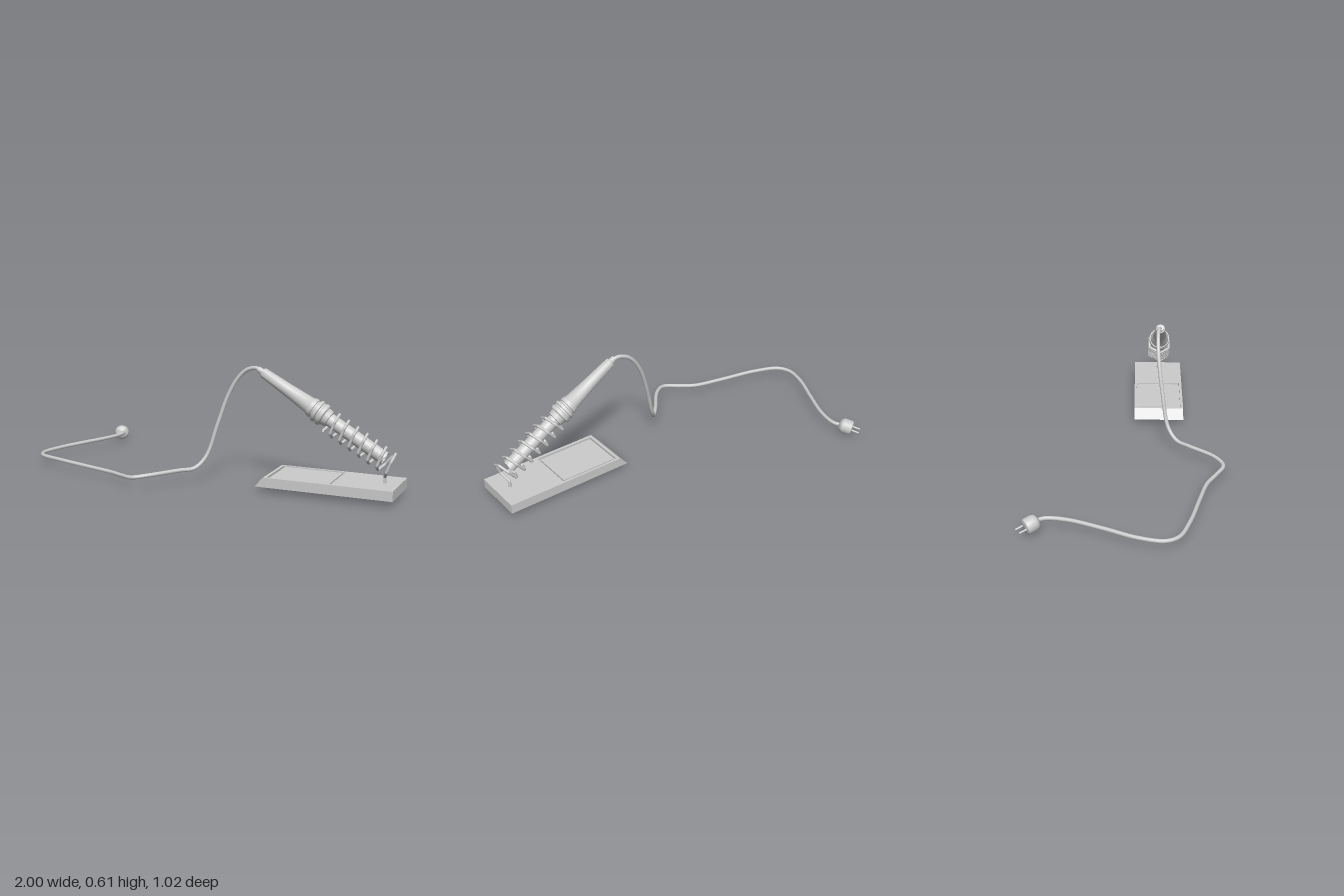
import * as THREE from 'three';
import { toCreasedNormals } from 'three/addons/utils/BufferGeometryUtils.js';

const grey = new THREE.MeshStandardMaterial({ color: 0xcccccc, side: THREE.DoubleSide });
const V = (x, y, z) => new THREE.Vector3(x, y, z);

function part(name, geometry, parent) {
  const mesh = new THREE.Mesh(geometry, grey);
  mesh.name = name;
  parent.add(mesh);
  return mesh;
}

// Surface of revolution from [distance along axis, radius] pairs
function turned(profile, sides) {
  const points = profile.map(([s, r]) => new THREE.Vector2(r, s));
  return toCreasedNormals(new THREE.LatheGeometry(points, sides), 0.6);
}

function rect(Type, x0, x1, z0, z1) {
  const p = new Type();
  p.moveTo(x0, -z0);
  p.lineTo(x1, -z0);
  p.lineTo(x1, -z1);
  p.lineTo(x0, -z1);
  p.closePath();
  return p;
}

// Horizontal slab whose left edge slopes inward as it rises
function slab(y0, y1, hole) {
  const shape = rect(THREE.Shape, 0.3, 1, 0.03, 0.305);
  if (hole) shape.holes.push(hole);
  const g = new THREE.ExtrudeGeometry(shape, { depth: y1 - y0, bevelEnabled: false });
  g.rotateX(-Math.PI / 2).translate(0, y0, 0);
  const p = g.attributes.position;
  for (let i = 0; i < p.count; i++) {
    if (p.getX(i) < 0.31) p.setX(i, 0.3 + (p.getY(i) - 0.03) * 0.9);
  }
  g.computeVertexNormals();
  return g;
}

export function createModel() {
  const model = new THREE.Group();
  const up = V(0, 1, 0);

  // Stand base with a sponge tray
  const stand = new THREE.Group();
  stand.name = 'stand';
  model.add(stand);
  part('standBase', slab(0.03, 0.066), stand);
  part('trayRim', slab(0.066, 0.08, rect(THREE.Path, 0.36, 0.69, 0.042, 0.29)), stand);
  part('sponge', new THREE.BoxGeometry(0.308, 0.012, 0.226), stand).position.set(0.525, 0.071, 0.166);

  // Iron, turned around its sloping axis
  const start = V(0.27, 0.593, 0.17);
  const axis = V(0.857, -0.514, 0).normalize();
  const normal = V(0.514, 0.857, 0).normalize();
  const iron = new THREE.Group();
  iron.name = 'iron';
  iron.position.copy(start);
  iron.quaternion.setFromUnitVectors(up, axis);
  model.add(iron);
  part('handle', turned([[-0.005, 0], [-0.005, 0.015], [0.02, 0.016], [0.022, 0.023], [0.03, 0.026],
    [0.18, 0.033], [0.31, 0.042], [0.32, 0.048]], 20), iron);
  part('collar', turned([[0.318, 0.04], [0.32, 0.048], [0.338, 0.05], [0.34, 0.045], [0.348, 0.046],
    [0.352, 0.056], [0.366, 0.058], [0.37, 0.052], [0.378, 0.052], [0.382, 0.058], [0.398, 0.056],
    [0.405, 0.046], [0.43, 0.041], [0.432, 0.033]], 20), iron);
  part('barrel', turned([[0.42, 0.034], [0.76, 0.034], [0.76, 0.029], [0.7, 0.029], [0.7, 0]], 20), iron);
  part('tip', turned([[0.7, 0.009], [0.74, 0.008], [0.765, 0]], 10), iron);

  // Six-sided coil holder, its tail bent down into the base
  const wirePoints = [];
  for (let k = -3; k <= 38; k++) {
    const a = k * Math.PI / 3;
    wirePoints.push(start.clone()
      .addScaledVector(axis, 0.46 + 0.055 * k / 6)
      .addScaledVector(normal, 0.06 * Math.cos(a) - 0.008)
      .add(V(0, 0, 0.064 * Math.sin(a))));
  }
  wirePoints.push(V(0.925, 0.113, 0.17), V(0.925, 0.07, 0.17));
  const wire = new THREE.CurvePath();
  for (let i = 1; i < wirePoints.length; i++) {
    wire.add(new THREE.LineCurve3(wirePoints[i - 1], wirePoints[i]));
  }
  part('coilHolder', new THREE.TubeGeometry(wire, 420, 0.0075, 8), stand);

  // Power cable
  const cable = new THREE.CatmullRomCurve3([
    [-0.836, 0.052, -0.43], [-0.81, 0.055, -0.4], [-0.804, 0.056, -0.36], [-0.824, 0.057, -0.264],
    [-0.893, 0.056, -0.104], [-0.966, 0.053, 0.056], [-0.99, 0.052, 0.18], [-0.957, 0.053, 0.243],
    [-0.824, 0.055, 0.3], [-0.61, 0.05, 0.355], [-0.45, 0.048, 0.4], [-0.37, 0.052, 0.447],
    [-0.285, 0.06, 0.49], [-0.21, 0.069, 0.45], [-0.104, 0.074, 0.323], [-0.045, 0.078, 0.258],
    [0, 0.135, 0.212], [0.05, 0.3, 0.182], [0.1, 0.45, 0.163], [0.15, 0.54, 0.157],
    [0.2, 0.586, 0.157], [0.25, 0.599, 0.163], [0.285, 0.584, 0.17],
  ].map((p) => V(...p)));
  part('cable', new THREE.TubeGeometry(cable, 200, 0.0105, 10), model);

  // Plug with two pins
  const plug = new THREE.Group();
  plug.name = 'plug';
  plug.position.set(-0.845, 0.047, -0.445);
  // local y points out of the pins, local x runs from pin to pin
  const out = V(-0.55, -0.22, -0.83).normalize();
  const side = V(0.83, 0, -0.55).normalize();
  plug.quaternion.setFromRotationMatrix(
    new THREE.Matrix4().makeBasis(side, out, side.clone().cross(out)));
  model.add(plug);
  part('plugBody', turned([[-0.042, 0], [-0.042, 0.014], [-0.036, 0.026], [-0.026, 0.037], [-0.014, 0.041],
    [0.022, 0.041], [0.03, 0.038], [0.034, 0.03], [0.034, 0]], 16), plug);
  for (const s of [-1, 1]) {
    part('plugPin', new THREE.CylinderGeometry(0.005, 0.005, 0.045, 10), plug).position.set(s * 0.019, 0.052, 0);
  }

  return model;
}
